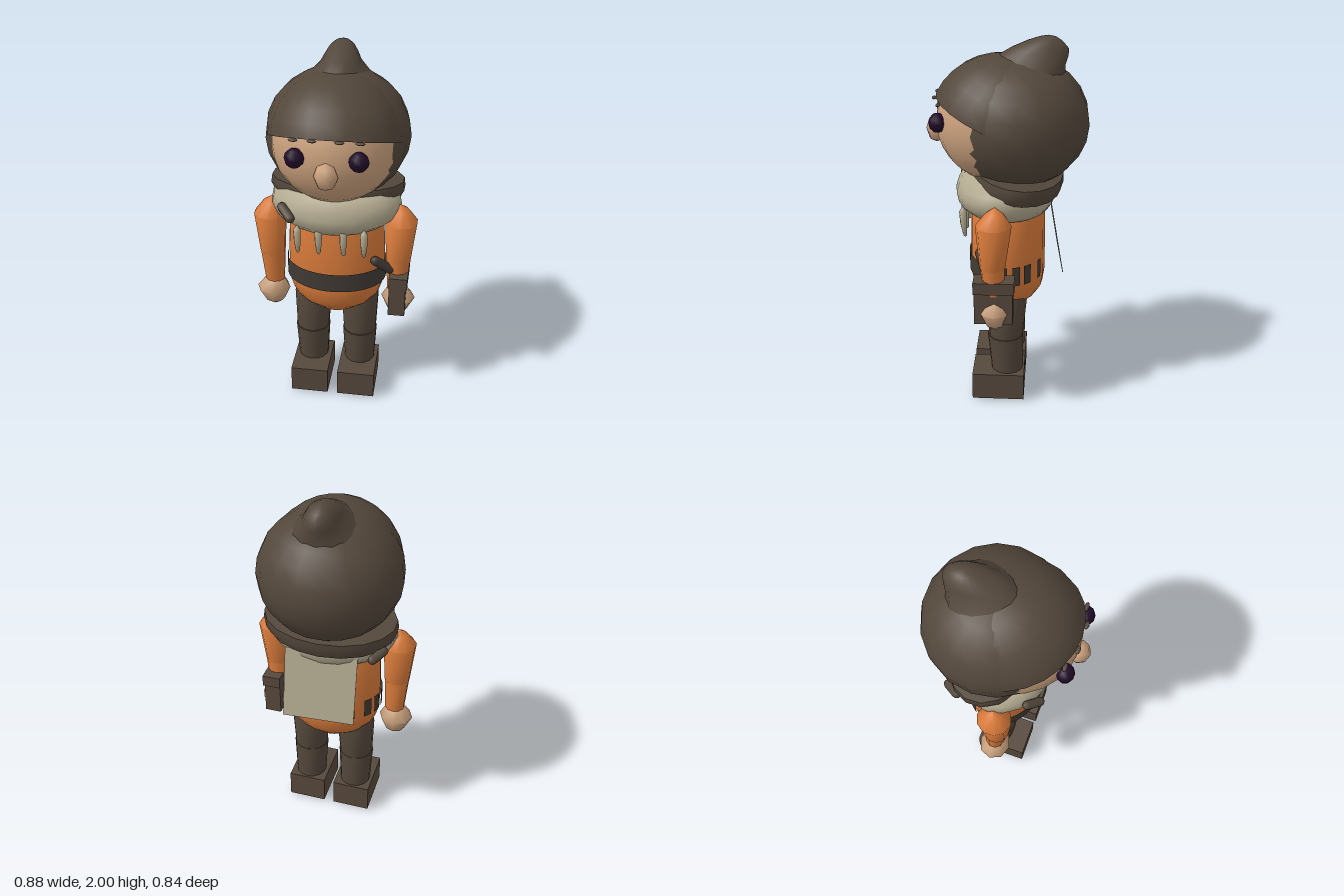
import * as THREE from 'three';
import { toCreasedNormals } from 'three/addons/utils/BufferGeometryUtils.js';

const mat = (name, color) => {
  const m = new THREE.MeshStandardMaterial({ color });
  m.name = name;
  return m;
};

// Skin over elliptical rings listed bottom to top: [y, centreX, centreZ, radiusX, radiusZ]
function loft(rings, sides = 12, crease = 1) {
  const pos = [], idx = [];
  rings.forEach(([y, cx, cz, rx, rz], r) => {
    for (let i = 0; i < sides; i++) {
      const a = (i / sides) * Math.PI * 2;
      pos.push(cx + rx * Math.sin(a), y, cz + rz * Math.cos(a));
      if (r === 0) continue;
      const j = (i + 1) % sides, lo = (r - 1) * sides, hi = r * sides;
      idx.push(lo + i, lo + j, hi + j, lo + i, hi + j, hi + i);
    }
  });
  const g = new THREE.BufferGeometry();
  g.setAttribute('position', new THREE.Float32BufferAttribute(pos, 3));
  g.setIndex(idx);
  return toCreasedNormals(g, crease);
}

export function createModel() {
  const model = new THREE.Group();
  const brown = mat('dark brown cloth', 0x53473b);
  const boot = mat('boot leather', 0x56483c);
  const beltMat = mat('belt leather', 0x413a35);
  beltMat.side = THREE.DoubleSide;
  const orange = mat('orange cloth', 0xd87a3a);
  const skin = mat('skin', 0xc9a07c);
  const cream = mat('cream fur', 0xb3aa90);
  const eyeMat = mat('eye purple', 0x200a28);

  const add = (name, geo, material, x = 0, y = 0, z = 0) => {
    const m = new THREE.Mesh(geo, material);
    m.name = name;
    m.position.set(x, y, z);
    model.add(m);
    return m;
  };
  const ball = (rx, ry, rz, w = 18, h = 12) => new THREE.SphereGeometry(1, w, h).scale(rx, ry, rz);

  // Rod between two points
  const rod = (name, a, b, r, material) => {
    const p = new THREE.Vector3(...a), q = new THREE.Vector3(...b);
    const d = q.clone().sub(p);
    const m = add(name, new THREE.CapsuleGeometry(r, d.length(), 3, 8), material);
    m.position.copy(p).add(q).multiplyScalar(0.5);
    m.quaternion.setFromUnitVectors(new THREE.Vector3(0, 1, 0), d.normalize());
  };

  // Head and hood
  add('head', ball(0.33, 0.32, 0.34, 24, 16), skin, 0, 1.56, 0.03);
  add('hood', ball(0.375, 0.34, 0.37), brown, 0, 1.56, -0.05);
  const brim = new THREE.SphereGeometry(1, 24, 8, 0, Math.PI * 2, 0, Math.PI / 2);
  brim.rotateX(-0.416).scale(0.347, 0.345, 0.37);
  const brimMesh = add('hoodBrim', brim, brown, 0, 1.56, 0.03);
  brimMesh.castShadow = false;
  add('hoodPeak', loft([
    [1.74, 0, -0.04, 0.27, 0.25],
    [1.85, 0, -0.1, 0.16, 0.185],
    [1.9, 0, -0.125, 0.105, 0.175],
    [1.935, 0, -0.155, 0.085, 0.145],
    [1.97, 0, -0.18, 0.062, 0.09],
    [1.99, 0, -0.195, 0.035, 0.045],
    [2, 0, -0.2, 0, 0],
  ], 16, 1.4), brown);
  for (const x of [-0.16, -0.065, 0.065, 0.16]) {
    add('brimStitch', ball(0.024, 0.008, 0.012, 8, 6), brown, x, 1.695 - x * x * 0.6, 0.375 - x * x * 1.4);
  }

  // Face
  add('nose', ball(0.06, 0.072, 0.055, 8, 4), skin, 0, 1.512, 0.37);
  for (const s of [-1, 1]) add('eye', ball(0.05, 0.05, 0.045, 10, 6), eyeMat, s * 0.155, 1.588, 0.345);

  // Torso
  add('torso', loft([
    [0.49, 0, 0, 0, 0],
    [0.54, 0, 0, 0.11, 0.1],
    [0.6, 0, 0, 0.2, 0.16],
    [0.65, 0, 0, 0.24, 0.19],
    [0.72, 0, 0, 0.262, 0.2],
    [0.9, 0, 0, 0.264, 0.2],
    [1.1, 0, 0, 0.255, 0.198],
    [1.22, 0, 0, 0.2, 0.16],
  ], 20, 1.2), orange);

  // Belt: a front band, then loose loops round the back
  const band = (name, start, length) => add(name,
    new THREE.CylinderGeometry(1, 1, 0.108, Math.max(2, Math.round(length * 8)), 1, true, start, length)
      .scale(0.272, 1, 0.208), beltMat, 0, 0.792, 0);
  band('belt', -1.62, 3.24);
  for (const s of [-1, 1]) {
    for (const [a, w] of [[1.85, 0.19], [2.15, 0.2], [2.55, 0.13]]) band('beltLoop', s * a - w / 2, w);
  }

  // Fur collar and the cowl behind it
  add('furCollar', loft([
    [1.1, 0, 0, 0.2, 0.17],
    [1.105, 0, 0.005, 0.275, 0.225],
    [1.145, 0, 0.01, 0.325, 0.255],
    [1.2, 0, 0.01, 0.345, 0.265],
    [1.25, 0, 0.01, 0.335, 0.25],
    [1.3, 0, 0.01, 0.28, 0.225],
    [1.305, 0, 0.01, 0.15, 0.12],
  ], 20, 1.3), cream);
  const cowl = add('cowl', loft([
    [-0.05, 0, 0, 0.25, 0.16],
    [-0.045, 0, 0, 0.335, 0.23],
    [0, 0, 0, 0.358, 0.243],
    [0.045, 0, 0, 0.352, 0.238],
    [0.05, 0, 0, 0.2, 0.13],
  ], 18), brown, 0, 1.262, -0.05);
  cowl.rotation.x = -0.12;
  rod('toggle', [-0.255, 1.235, 0.2], [-0.205, 1.2, 0.25], 0.025, brown);
  rod('toggle', [-0.31, 1.21, -0.16], [-0.27, 1.19, -0.22], 0.025, brown);

  // Tooth pendants
  for (const x of [-0.175, -0.065, 0.065, 0.172]) {
    add('tooth', loft([
      [0.975, x, 0.215, 0, 0],
      [0.985, x, 0.215, 0.01, 0.01],
      [1.05, x, 0.222, 0.018, 0.018],
      [1.12, x, 0.225, 0.02, 0.02],
      [1.15, x, 0.22, 0, 0],
    ], 8), cream);
  }

  // Cloth panel hanging down the back
  const panel = add('backPanel', new THREE.BoxGeometry(0.38, 0.4, 0.004), cream, 0, 0.985, -0.25);
  panel.rotation.set(0.17, 0.08, 0);

  for (const s of [-1, 1]) {
    // Arms and hands
    add('upperArm', loft([
      [0.885, s * 0.342, 0.062, 0, 0],
      [0.885, s * 0.342, 0.062, 0.068, 0.066],
      [1.12, s * 0.35, 0.055, 0.087, 0.092],
      [1.185, s * 0.345, 0.05, 0.042, 0.045],
      [1.215, s * 0.34, 0.048, 0, 0],
    ], 10, 0.9), orange);
    add('forearm', loft([
      [0.7, s * 0.338, 0.052, 0, 0],
      [0.7, s * 0.338, 0.052, 0.053, 0.05],
      [0.89, s * 0.342, 0.062, 0.067, 0.064],
    ], 10), orange);
    add('hand', loft([
      [0.52, s * 0.345, 0.05, 0, 0],
      [0.56, s * 0.345, 0.05, 0.055, 0.05],
      [0.64, s * 0.348, 0.052, 0.092, 0.085],
      [0.705, s * 0.34, 0.052, 0.048, 0.045],
      [0.72, s * 0.338, 0.052, 0, 0],
    ], 8, 1.2), skin);

    // Legs and boots
    add('thigh', loft([
      [0.375, s * 0.135, 0.005, 0.092, 0.094],
      [0.6, s * 0.132, -0.005, 0.104, 0.105],
      [0.68, s * 0.13, -0.005, 0.09, 0.09],
    ], 14), brown);
    add('shin', loft([
      [0.12, s * 0.135, -0.005, 0.083, 0.085],
      [0.38, s * 0.135, 0.007, 0.097, 0.098],
      [0.38, s * 0.135, 0.007, 0, 0],
    ], 14), brown);
    add('boot', new THREE.BoxGeometry(0.21, 0.155, 0.285), boot, s * 0.133, 0.088, 0.043);
    add('bootStud', new THREE.BoxGeometry(0.02, 0.02, 0.02), boot, s * 0.133, 0.01, 0);
  }

  // Hip pouch with lid, and the handle tucked in the belt
  add('pouch', new THREE.BoxGeometry(0.09, 0.2, 0.2), boot, 0.347, 0.68, 0.055);
  add('pouchLid', new THREE.BoxGeometry(0.1, 0.065, 0.212), boot, 0.35, 0.787, 0.054);
  rod('handle', [0.225, 0.91, 0.135], [0.3, 0.845, 0.1], 0.026, beltMat);

  return model;
}
